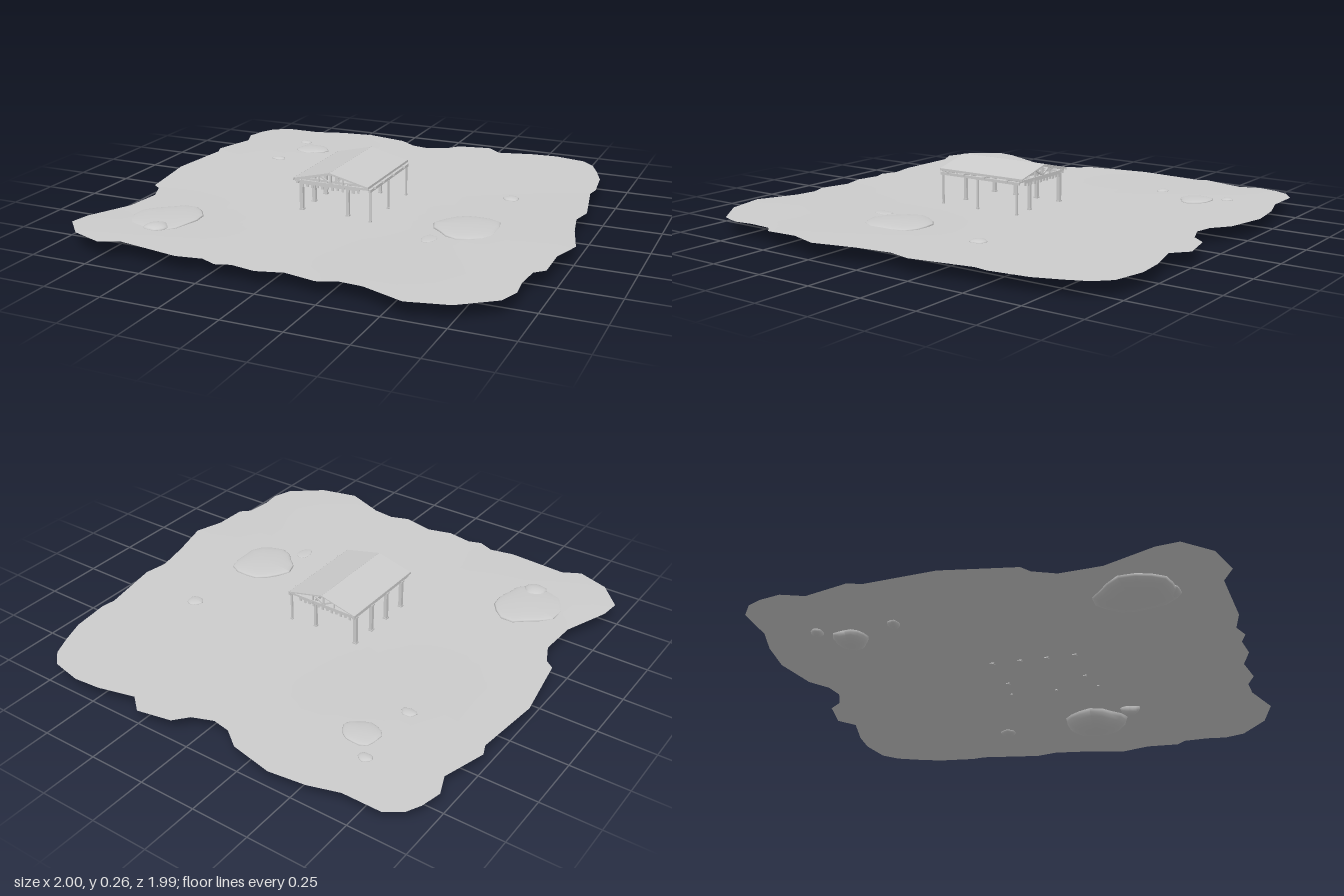
import * as THREE from 'three';

const grey = new THREE.MeshStandardMaterial({ color: 0xcccccc });
const thin = new THREE.MeshStandardMaterial({ color: 0xcccccc, side: THREE.DoubleSide });

// Ragged outline of the ground sheet, x and z pairs
const OUTLINE = [
  -.85, -.93, -.68, -.93, -.55, -.97, -.39, -.99, -.2, -.95, -.12, -.89, -.04, -.875, .05, -.91,
  .1, -.97, .25, -1, .32, -.94, .48, -.98, .6, -.99, .74, -.96, .8, -.9, .84, -.81, .88, -.7,
  .9, -.53, .89, -.47, .94, -.2, .92, -.1, .95, .05, 1, .23, .96, .36, .96, .51, .92, .55,
  .91, .66, .92, .75, .89, .84, .75, .95, .58, .99, .4, .92, .3, .91, .22, .94, .08, .91,
  -.03, .94, -.14, .92, -.2, .94, -.27, .91, -.38, .93, -.65, .9, -.73, .94, -.87, .89,
  -.97, .78, -.96, .69, -.88, .49, -.87, .32, -.91, .23, -.95, .2, -1, -.1, -.97, -.4,
  -.99, -.45, -.935, -.64, -.97, -.73, -.95, -.82, -.92, -.88,
];

// Soft swells of the ground: x, z, radius, height
const SWELLS = [[-.8, .85, .3, .014], [.85, .25, .3, .009], [-.6, -.5, .25, .006], [.6, .85, .3, .005]];
function groundHeight(x, z) {
  let y = .064;
  for (const [cx, cz, r, h] of SWELLS) y += h * Math.exp(-((x - cx) ** 2 + (z - cz) ** 2) / (r * r));
  return y;
}

// Sheet made of shrinking copies of the outline
function makeGround() {
  const n = OUTLINE.length / 2, rings = 14, pos = [0, groundHeight(0, 0), 0], idx = [];
  for (let k = 1; k <= rings; k++) {
    for (let i = 0; i < n; i++) {
      const x = OUTLINE[2 * i] * k / rings, z = OUTLINE[2 * i + 1] * k / rings;
      pos.push(x, groundHeight(x, z), z);
    }
  }
  for (let i = 0; i < n; i++) {
    const j = (i + 1) % n;
    idx.push(0, 1 + j, 1 + i);
    for (let k = 0; k < rings - 1; k++) {
      const a = 1 + k * n + i, b = 1 + k * n + j;
      idx.push(a, b, b + n, a, b + n, a + n);
    }
  }
  const g = new THREE.BufferGeometry();
  g.setAttribute('position', new THREE.Float32BufferAttribute(pos, 3));
  g.setIndex(idx);
  g.computeVertexNormals();
  const m = new THREE.Mesh(g, thin);
  m.name = 'ground';
  return m;
}

// Lumpy boulder, its widest level at the ground, shallow above and deeper below
function makeRock([x, z, rx, rz, up, down, turn]) {
  const g = new THREE.SphereGeometry(1, 16, 12);
  const p = g.attributes.position;
  for (let i = 0; i < p.count; i++) {
    const px = p.getX(i), py = p.getY(i), pz = p.getZ(i);
    const a = Math.atan2(pz, px), s = Math.hypot(px, pz);
    const lump = 1 + s * (.06 * Math.sin(3 * a + x * 20) + .05 * Math.sin(5 * a + z * 30));
    p.setXYZ(i, px * rx * lump, py * (py > 0 ? up : down), pz * rz * lump);
  }
  g.computeVertexNormals();
  const m = new THREE.Mesh(g, grey);
  m.position.set(x, groundHeight(x, z), z);
  m.rotation.y = turn;
  m.name = 'rock';
  return m;
}

const ROCKS = [
  [-.65, .57, .14, .165, .012, .036, -.3],
  [-.62, .69, .05, .05, .016, .02, 0],
  [.54, .18, .135, .145, .015, .0665, 0],
  [.44, .36, .03, .045, .004, .033, 0],
  [-.55, -.61, .08, .07, .01, .038, 0],
  [-.64, -.72, .03, .025, .008, .018, 0],
  [-.63, -.4, .033, .025, .008, .016, 0],
  [.59, -.26, .035, .035, .01, .015, 0],
];

const RIDGE_X = -.03, RIDGE_Y = .26, EAVE_Y = .217, LEFT_X = -.197, RIGHT_X = .143;
const BACK = -.15, FRONT = .29, MID = (BACK + FRONT) / 2, LEN = FRONT - BACK;

function makePavilion() {
  const group = new THREE.Group();
  group.name = 'pavilion';
  const box = (name, w, h, d, x, y, z) => {
    const m = new THREE.Mesh(new THREE.BoxGeometry(w, h, d), grey);
    m.position.set(x, y, z);
    m.name = name;
    group.add(m);
    return m;
  };
  // Sloping bar between two points in a plane of constant z
  const bar = (name, x1, y1, x2, y2, z, t, d) => {
    const m = box(name, Math.hypot(x2 - x1, y2 - y1), t, d, (x1 + x2) / 2, (y1 + y2) / 2, z);
    m.rotation.z = Math.atan2(y2 - y1, x2 - x1);
  };
  const slope = x => x < RIDGE_X
    ? EAVE_Y + (RIDGE_Y - EAVE_Y) * (x - LEFT_X) / (RIDGE_X - LEFT_X)
    : EAVE_Y + (RIDGE_Y - EAVE_Y) * (RIGHT_X - x) / (RIGHT_X - RIDGE_X);

  // Roof slopes and their fascias
  for (const ex of [LEFT_X, RIGHT_X]) {
    bar('roofSlope', ex, EAVE_Y, RIDGE_X, RIDGE_Y - .002, MID, .004, LEN);
    box('fascia', .004, .01, LEN, ex, EAVE_Y - .002, MID);
  }
  box('ridgeBeam', .006, .01, LEN - .02, RIDGE_X, .251, MID);

  // Posts: thick on the closed side, thinner inside and on the open side
  const post = (x, z, w) => {
    box('post', w, .145, w, x, .132, z);
    box('postFoot', w * 1.3, .008, w * 1.3, x, .066, z);
    box('postHead', w * 1.4, .006, w * 1.4, x, .196, z);
  };
  for (const z of [.235, .115, 0, -.12]) post(-.185, z, .015);
  for (const z of [.235, -.11]) post(.03, z, .012);
  for (const z of [.27, .08, -.125]) post(.147, z, .008);

  // Long beams on the post rows
  for (const x of [-.185, .03, .147]) box('longBeam', .01, .012, LEN - .02, x, .2, MID);

  // Cross beams with ends running past the open side
  for (const z of [.24, .15, .04, -.08]) box('crossBeam', .355, .009, .007, -.018, .206, z);

  // Trusses with struts
  for (const z of [.275, .115, -.135]) {
    for (const ex of [LEFT_X, RIGHT_X]) bar('rafter', ex, EAVE_Y - .006, RIDGE_X, RIDGE_Y - .008, z, .009, .008);
    box('tieBeam', .335, .009, .008, -.027, .206, z);
    box('kingPost', .007, .048, .007, RIDGE_X, .23, z);
    for (const s of [-1, 1]) {
      const x = RIDGE_X + s * .055;
      bar('strut', RIDGE_X, .21, x, slope(x) - .006, z, .006, .006);
      box('strut', .005, slope(x) - .212, .006, x, (slope(x) + .206) / 2, z);
    }
  }

  // Toothed trim under the end beams
  for (const z of [.272, -.132]) {
    box('trimBoard', .27, .01, .004, -.035, .197, z);
    for (let i = 0; i < 12; i++) box('trimTooth', .011, i % 2 ? .012 : .018, .004, -.163 + i * .0233, .188, z);
  }
  return group;
}

export function createModel() {
  const model = new THREE.Group();
  const rocks = new THREE.Group();
  rocks.name = 'rocks';
  ROCKS.forEach(r => rocks.add(makeRock(r)));
  model.add(makeGround(), rocks, makePavilion());
  return model;
}
